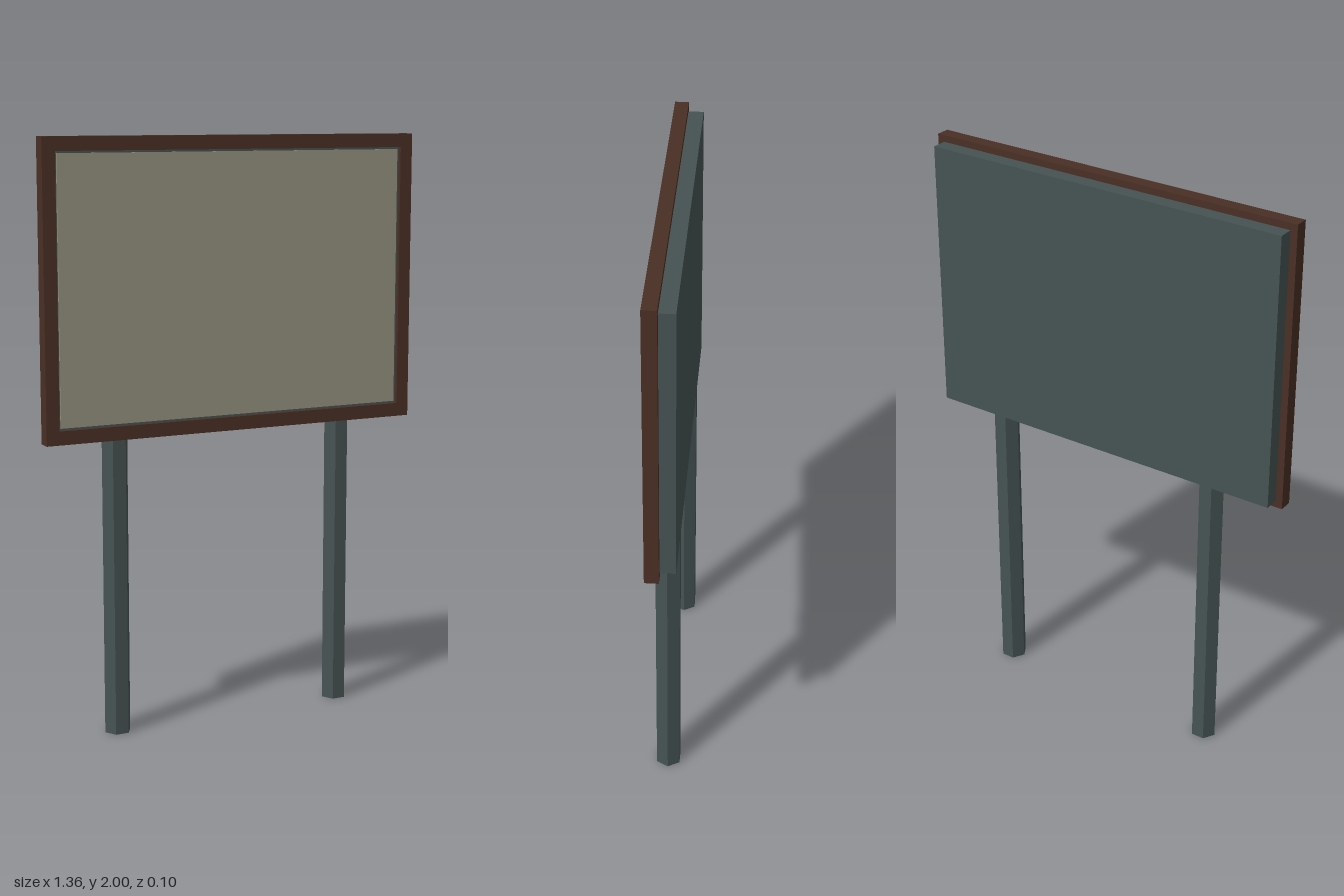
import * as THREE from 'three';

const slate = new THREE.MeshStandardMaterial({ color: 0x465252 });
slate.name = 'slate metal';
const wood = new THREE.MeshStandardMaterial({ color: 0x4a2f24 });
wood.name = 'dark wood';
const face = new THREE.MeshStandardMaterial({ color: 0x969280 });
face.name = 'beige panel';

export function createModel() {
  const group = new THREE.Group();
  const midY = 1.507;

  function add(name, geometry, material, x, y, z) {
    const mesh = new THREE.Mesh(geometry, material);
    mesh.name = name;
    mesh.position.set(x, y, z);
    group.add(mesh);
    return mesh;
  }

  // Hexagonal posts, corners pointing sideways, ends hidden inside the board
  for (const [name, side] of [['leftPost', 1], ['rightPost', -1]]) {
    const geometry = new THREE.CylinderGeometry(0.046, 0.046, 1.45, 6).toNonIndexed();
    geometry.rotateY(Math.PI / 6);
    geometry.computeVertexNormals();
    add(name, geometry, slate, side * 0.422, 0.725, -0.009);
  }

  // Backing board behind the frame
  add('backBoard', new THREE.BoxGeometry(1.316, 0.94, 0.085), slate, 0, midY, -0.0095);

  // Rectangular frame with an opening
  const rect = (path, w, h) => path.moveTo(-w, -h).lineTo(w, -h).lineTo(w, h).lineTo(-w, h).closePath();
  const outline = rect(new THREE.Shape(), 0.682, 0.493);
  outline.holes.push(rect(new THREE.Path(), 0.637, 0.447));
  const frame = new THREE.ExtrudeGeometry(outline, { depth: 0.047, bevelEnabled: false });
  add('frame', frame, wood, 0, midY, 0);

  // Display panel, leaving a thin slate margin inside the frame
  add('displayPanel', new THREE.BoxGeometry(1.258, 0.88, 0.006), face, 0, midY, 0.035);

  return group;
}
